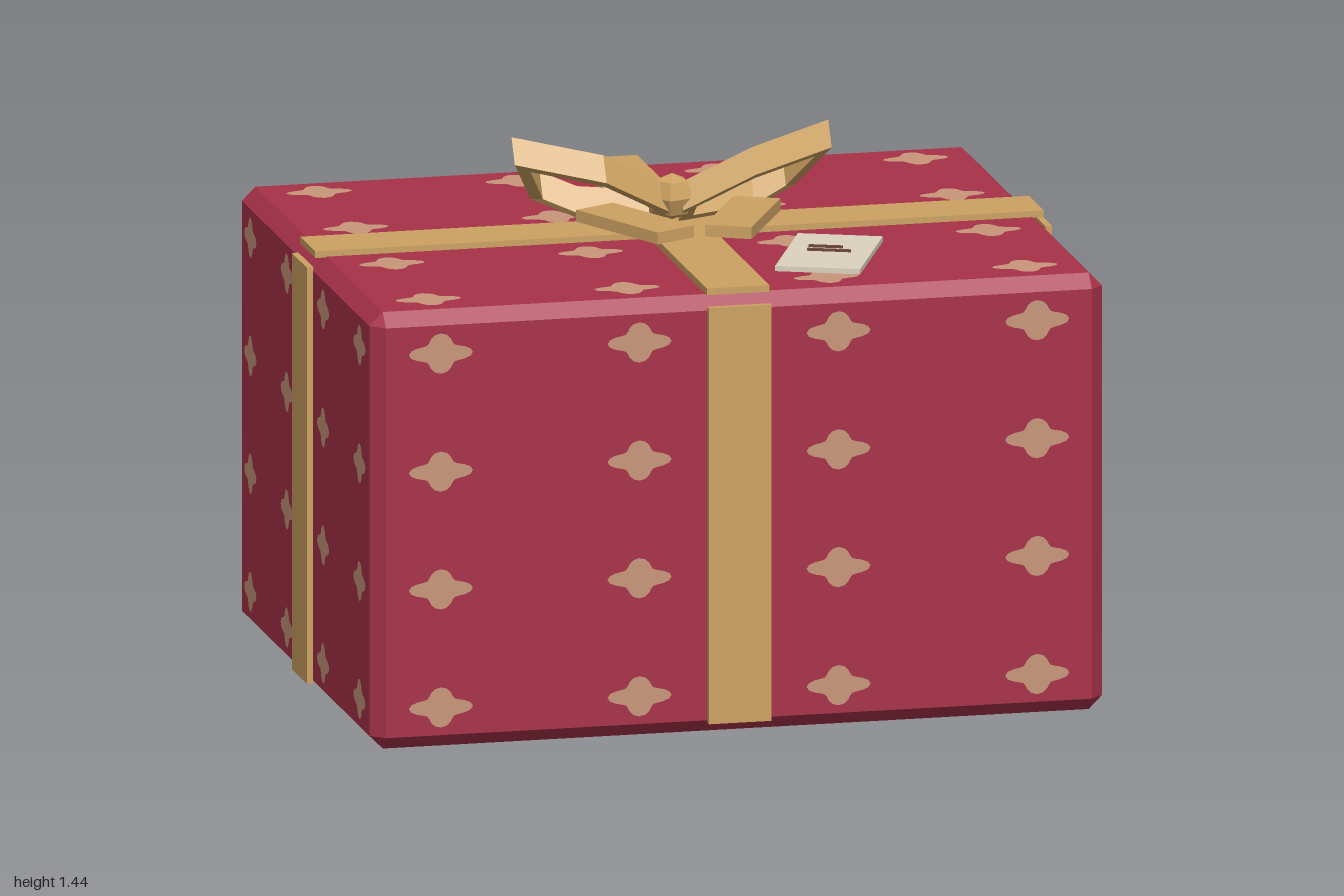
import * as THREE from 'three';
import { ConvexGeometry } from 'three/addons/geometries/ConvexGeometry.js';

const material = (name, color) => {
  const m = new THREE.MeshStandardMaterial({ color });
  m.name = name;
  return m;
};

export function createModel() {
  const red = material('red paper', 0xa83149);
  const gold = material('gold ribbon', 0xcda262);
  const tan = material('tan print', 0xc9967a);
  const cream = material('cream card', 0xdcd3be);
  const brown = material('brown ink', 0x6e4436);
  gold.flatShading = true;

  const model = new THREE.Group();
  const add = (parent, name, geometry, mat, x = 0, y = 0, z = 0) => {
    const mesh = new THREE.Mesh(geometry, mat);
    mesh.name = name;
    mesh.position.set(x, y, z);
    parent.add(mesh);
    return mesh;
  };

  // Chamfered gift box: each corner is cut by three points
  const X = 0.983, Y = 0.586, Z = 0.752, C = 0.036;
  const corners = [];
  for (const a of [-1, 1]) for (const b of [-1, 1]) for (const c of [-1, 1]) {
    corners.push(
      new THREE.Vector3(a * X, b * (Y - C), c * (Z - C)),
      new THREE.Vector3(a * (X - C), b * Y, c * (Z - C)),
      new THREE.Vector3(a * (X - C), b * (Y - C), c * Z));
  }
  add(model, 'box', new ConvexGeometry(corners), red, 0, Y, 0);

  // Four-lobed print, a 4 x 4 grid on every face
  const lobes = [];
  for (let i = 0; i < 32; i++) {
    const t = (i / 32) * Math.PI * 2, r = 0.8 + 0.2 * Math.cos(4 * t);
    lobes.push(new THREE.Vector2(r * Math.cos(t), r * Math.sin(t)));
  }
  const spot = new THREE.ShapeGeometry(new THREE.Shape(lobes));
  const cols = [-0.8, -0.267, 0.267, 0.8], rows = [-0.475, -0.158, 0.158, 0.475];
  const depths = [-0.613, -0.204, 0.204, 0.613];
  const printFace = (name, us, vs, ru, rv, offset, rx, ry) => {
    const face = new THREE.Group();
    face.name = name;
    for (const u of us) for (const v of vs) {
      add(face, 'printSpot', spot, tan, u, v, offset + 0.002).scale.set(ru, rv, 1);
    }
    face.rotation.set(rx, ry, 0);
    face.position.y = Y;
    model.add(face);
  };
  printFace('frontPrint', cols, rows, 0.086, 0.054, Z, 0, 0);
  printFace('backPrint', cols, rows, 0.086, 0.054, Z, 0, Math.PI);
  printFace('leftPrint', depths, rows, 0.068, 0.054, X, 0, Math.PI / 2);
  printFace('rightPrint', depths, rows, 0.068, 0.054, X, 0, -Math.PI / 2);
  printFace('topPrint', cols, depths, 0.088, 0.068, Y, -Math.PI / 2, 0);
  printFace('bottomPrint', cols, depths, 0.088, 0.068, Y - 0.001, Math.PI / 2, 0);

  // Ribbon bands on the lid and the four sides
  const W = 0.168;
  add(model, 'lidRibbonAcross', new THREE.BoxGeometry(1.955, 0.018, W), gold, 0, 1.179, 0);
  add(model, 'lidRibbonAlong', new THREE.BoxGeometry(W, 0.018, 1.488), gold, 0, 1.184, 0);
  for (const s of [-1, 1]) {
    add(model, 'sideRibbon', new THREE.BoxGeometry(0.018, 1.117, W), gold, s * 0.991, 0.587, 0);
    add(model, s > 0 ? 'frontRibbon' : 'backRibbon',
      new THREE.BoxGeometry(W, 1.117, 0.018), gold, 0, 0.587, s * 0.758);
  }

  // Bow loop: a thick faceted band swept around six points
  const path = [
    [0.02, 1.265, 0.025], [0.2, 1.365, 0.085], [0.425, 1.405, -0.005],
    [0.355, 1.282, -0.125], [0.24, 1.235, -0.085], [0.02, 1.225, -0.025],
  ].map((p) => new THREE.Vector3(...p));
  const centre = path.reduce((sum, p) => sum.add(p), new THREE.Vector3()).divideScalar(path.length);
  const half = new THREE.Vector3(0, -0.87, 0.5).multiplyScalar(0.038);
  const bowLoop = (side) => {
    const verts = [], index = [];
    for (const p of path) {
      const inner = p.clone().lerp(centre, 0.2);
      for (const q of [p.clone().add(half), p.clone().sub(half),
        inner.clone().sub(half), inner.clone().add(half)]) {
        verts.push(q.x * side, q.y, q.z);
      }
    }
    for (let i = 0; i < path.length; i++) for (let k = 0; k < 4; k++) {
      const n = ((i + 1) % path.length) * 4, l = (k + 1) % 4;
      const a = i * 4 + k, b = i * 4 + l, c = n + l, d = n + k;
      if (side > 0) index.push(a, c, b, a, d, c);
      else index.push(a, b, c, a, c, d);
    }
    const g = new THREE.BufferGeometry();
    g.setAttribute('position', new THREE.Float32BufferAttribute(verts, 3));
    g.setIndex(index);
    const flat = g.toNonIndexed();
    flat.computeVertexNormals();
    return flat;
  };

  // Bow: loops, tails and knot
  const bow = new THREE.Group();
  bow.name = 'bow';
  model.add(bow);
  for (const s of [-1, 1]) {
    add(bow, s > 0 ? 'leftLoop' : 'rightLoop', bowLoop(s), gold);
    const tail = add(bow, s > 0 ? 'leftTail' : 'rightTail',
      new THREE.BoxGeometry(0.125, 0.032, 0.33), gold, s * 0.144, 1.241, 0.19);
    tail.rotation.y = -s * 0.464;
  }
  add(bow, 'knot', new THREE.SphereGeometry(0.062, 5, 4), gold, 0, 1.262, 0);

  // Gift tag with two ink lines
  const tag = new THREE.Group();
  tag.name = 'giftTag';
  tag.position.set(0.315, 1.194, 0.445);
  tag.rotation.y = -0.395;
  add(tag, 'card', new THREE.BoxGeometry(0.225, 0.014, 0.37), cream);
  add(tag, 'shortLine', new THREE.BoxGeometry(0.09, 0.006, 0.009), brown, -0.015, 0.01, -0.04);
  add(tag, 'longLine', new THREE.BoxGeometry(0.115, 0.006, 0.009), brown, 0, 0.01, 0);
  model.add(tag);

  return model;
}
